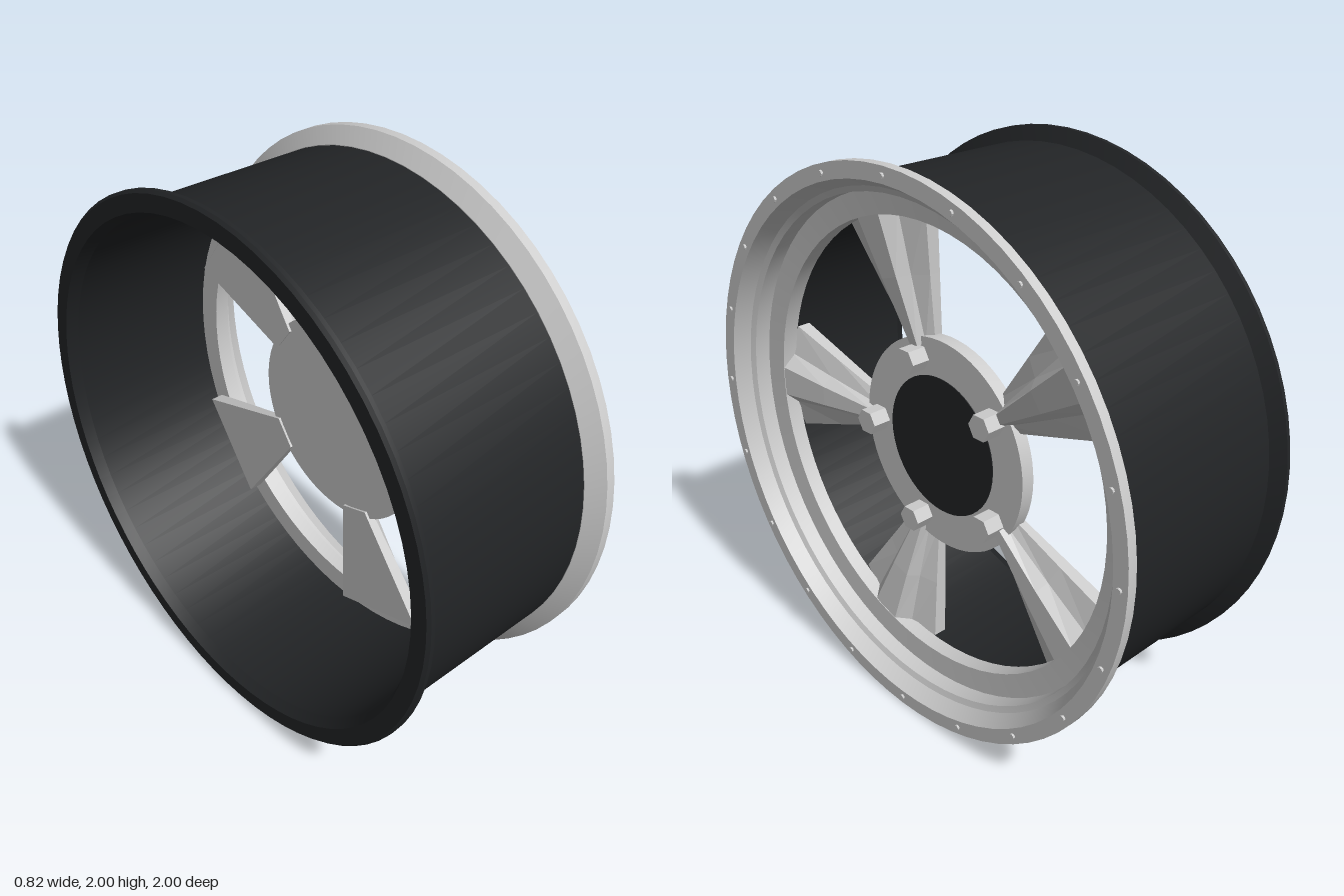
import * as THREE from 'three';
import { toCreasedNormals } from 'three/addons/utils/BufferGeometryUtils.js';

const grey = new THREE.MeshStandardMaterial({ color: 0xcccccc });
const black = new THREE.MeshStandardMaterial({ color: 0x222426 });

function part(name, geometry, material = grey) {
  const mesh = new THREE.Mesh(geometry, material);
  mesh.name = name;
  return mesh;
}

// Closed ring of revolution; points are [radius, axial position], counterclockwise
function ring(points) {
  const profile = [...points, points[0]].map(([r, h]) => new THREE.Vector2(r, h));
  return toCreasedNormals(new THREE.LatheGeometry(profile, 72), 0.4);
}

// Flared spoke along +z: a ridged section swept from the hub to the rim
function spokeGeometry() {
  // [fraction of half width, fraction of thickness]
  const section = [[-1, 0], [1, 0], [1, 0.4], [0.5, 0.62], [0.28, 1], [-0.28, 1], [-0.5, 0.62], [-1, 0.4]];
  const stations = [[0.36, 0.13, 0.205], [0.6, 0.135, 0.24], [0.83, 0.14, 0.268]]; // radius, back, front
  const n = section.length;
  const vertices = [];
  const index = [];
  for (const [r, back, front] of stations) {
    const half = 0.07 + 0.31 * (r - 0.39);
    for (const [u, t] of section) {
      const x = u * half;
      vertices.push(x, back + t * (front - back), Math.sqrt(r * r - x * x));
    }
  }
  for (let s = 0; s < stations.length - 1; s++) {
    for (let i = 0; i < n; i++) {
      const a = s * n + i;
      const b = s * n + (i + 1) % n;
      index.push(a, b, b + n, a, b + n, a + n);
    }
  }
  // End caps
  const last = (stations.length - 1) * n;
  for (const [start, flip] of [[0, true], [last, false]]) {
    const [r, back, front] = stations[start / n];
    const centre = vertices.length / 3;
    vertices.push(0, back + 0.3 * (front - back), r);
    for (let i = 0; i < n; i++) {
      const a = start + i;
      const b = start + (i + 1) % n;
      index.push(centre, flip ? b : a, flip ? a : b);
    }
  }
  const geometry = new THREE.BufferGeometry();
  geometry.setAttribute('position', new THREE.Float32BufferAttribute(vertices, 3));
  geometry.setIndex(index);
  const flat = geometry.toNonIndexed();
  flat.computeVertexNormals();
  return flat;
}

function cylinder(radius, from, to, sides) {
  const geometry = new THREE.CylinderGeometry(radius, radius, to - from, sides);
  geometry.translate(0, (from + to) / 2, 0);
  return toCreasedNormals(geometry, 0.4);
}

// Places copies of a geometry evenly on a circle, all facing the same way
function circleOf(name, count, radius, geometry) {
  const group = new THREE.Group();
  group.name = name + 's';
  for (let i = 0; i < count; i++) {
    const angle = (i / count) * Math.PI * 2;
    const mesh = part(name, geometry);
    mesh.position.set(Math.sin(angle) * radius, 0, Math.cos(angle) * radius);
    group.add(mesh);
  }
  return group;
}

export function createModel() {
  // The wheel is built around y, then its axle is turned to x
  const wheel = new THREE.Group();
  wheel.name = 'wheel';

  // Barrel with its back flange
  wheel.add(part('barrel', ring([
    [0.92, -0.41], [0.98, -0.41], [0.99, -0.4], [0.99, -0.385], [0.94, -0.36],
    [0.94, 0.328], [0.9, 0.328], [0.9, -0.37],
  ]), black));

  // Outer lip, stepping down to the ring that carries the spokes
  wheel.add(part('lip', ring([
    [0.81, 0.21], [0.92, 0.21], [0.92, 0.328], [0.942, 0.328], [1, 0.365], [1, 0.4],
    [0.945, 0.4], [0.915, 0.345], [0.895, 0.335], [0.895, 0.275], [0.81, 0.268],
  ])));
  wheel.add(circleOf('rivet', 20, 0.97, cylinder(0.01, 0.395, 0.408, 8)));

  // Hub with its dark centre
  wheel.add(part('hub', cylinder(0.39, 0.14, 0.19, 64)));
  wheel.add(part('hubCentre', cylinder(0.255, 0.17, 0.193, 48), black));
  wheel.add(circleOf('bolt', 5, 0.32, cylinder(0.047, 0.18, 0.26, 6)));

  // Spokes
  const spoke = spokeGeometry();
  for (let i = 0; i < 5; i++) {
    const mesh = part('spoke', spoke);
    mesh.rotation.y = (i / 5) * Math.PI * 2;
    wheel.add(mesh);
  }

  wheel.rotation.z = -Math.PI / 2;
  wheel.position.y = 1;
  const model = new THREE.Group();
  model.add(wheel);
  return model;
}
